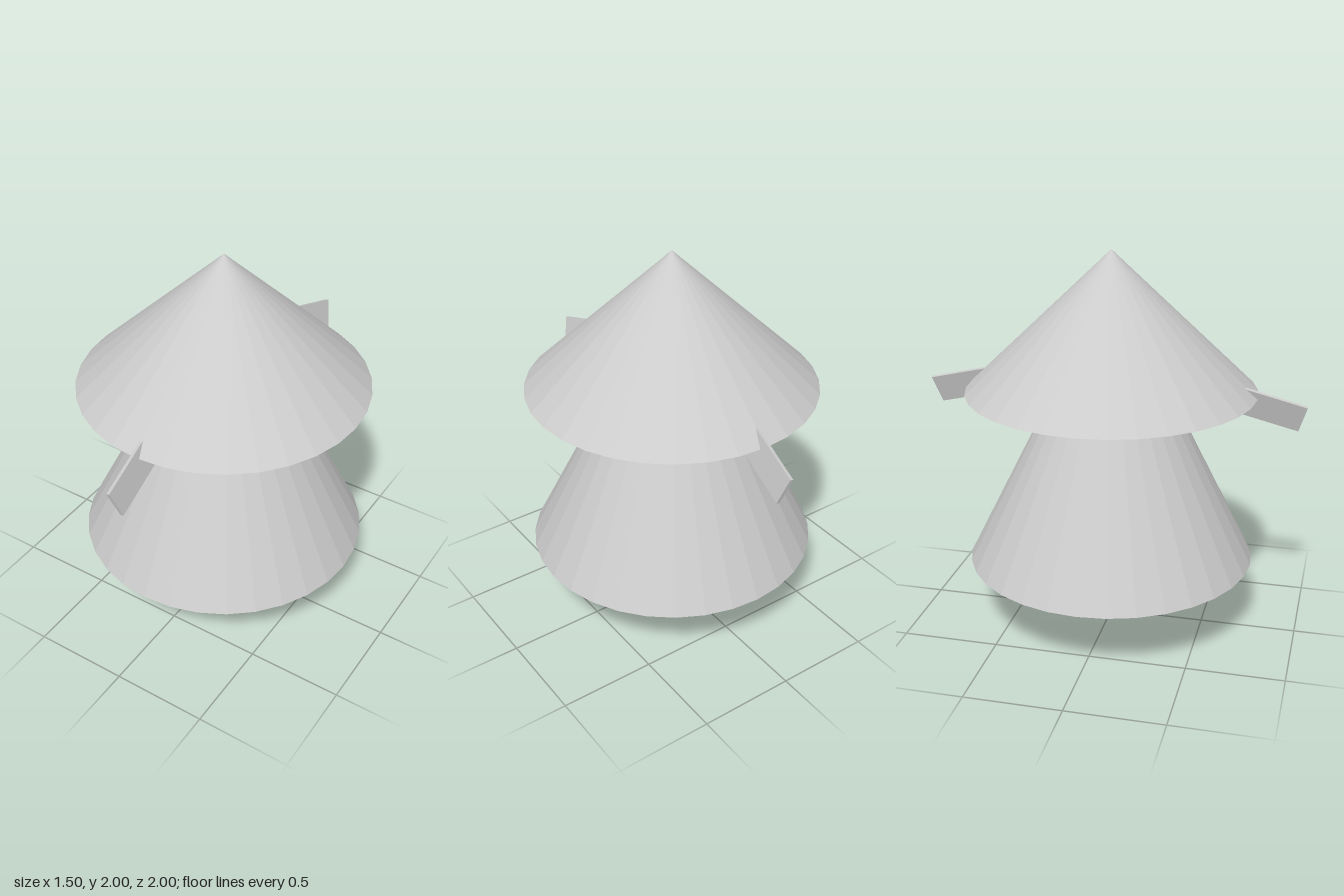
import * as THREE from 'three';

const material = new THREE.MeshStandardMaterial({ color: 0xcccccc, flatShading: true });

function cone(name, radius, height, baseY, z = 0, pointsDown = false) {
  const geometry = new THREE.ConeGeometry(radius, height, 32);
  if (pointsDown) geometry.rotateX(Math.PI);
  const mesh = new THREE.Mesh(geometry, material);
  mesh.name = name;
  mesh.position.set(0, baseY + height / 2, z);
  return mesh;
}

// A thin slat: tip is the middle of its upper outer edge, out its long
// direction and down its approximate width direction.
function arm(name, tip, out, down) {
  const length = 0.95, width = 0.15, thickness = 0.018;
  const l = new THREE.Vector3(...out).normalize();
  const w = new THREE.Vector3(...down);
  w.addScaledVector(l, -w.dot(l)).normalize();
  const t = new THREE.Vector3().crossVectors(w, l);
  const geometry = new THREE.BoxGeometry(thickness, width, length);
  geometry.translate(0, width / 2, -length / 2);
  geometry.applyMatrix4(new THREE.Matrix4().makeBasis(t, w, l));
  const mesh = new THREE.Mesh(geometry, material);
  mesh.name = name;
  mesh.position.set(...tip);
  return mesh;
}

export function createModel() {
  const model = new THREE.Group();
  model.name = 'coneFigure';

  // Body and broad hat
  model.add(cone('body', 0.75, 1.5, 0.365));
  model.add(cone('hat', 0.75, 0.72, 1.28));

  // Pointed legs, sunk into the body
  model.add(cone('frontLeg', 0.25, 0.5, 0, 0.3, true));
  model.add(cone('backLeg', 0.25, 0.5, 0, -0.3, true));

  // Drooping, slightly twisted arms
  model.add(arm('frontArm', [0.022, 1.25, 0.998], [0.035, -0.09, 0.32], [0.04, -0.14, -0.045]));
  model.add(arm('backArm', [0.05, 1.26, -0.998], [0.055, -0.086, -0.31], [0.035, -0.14, 0.045]));

  return model;
}
